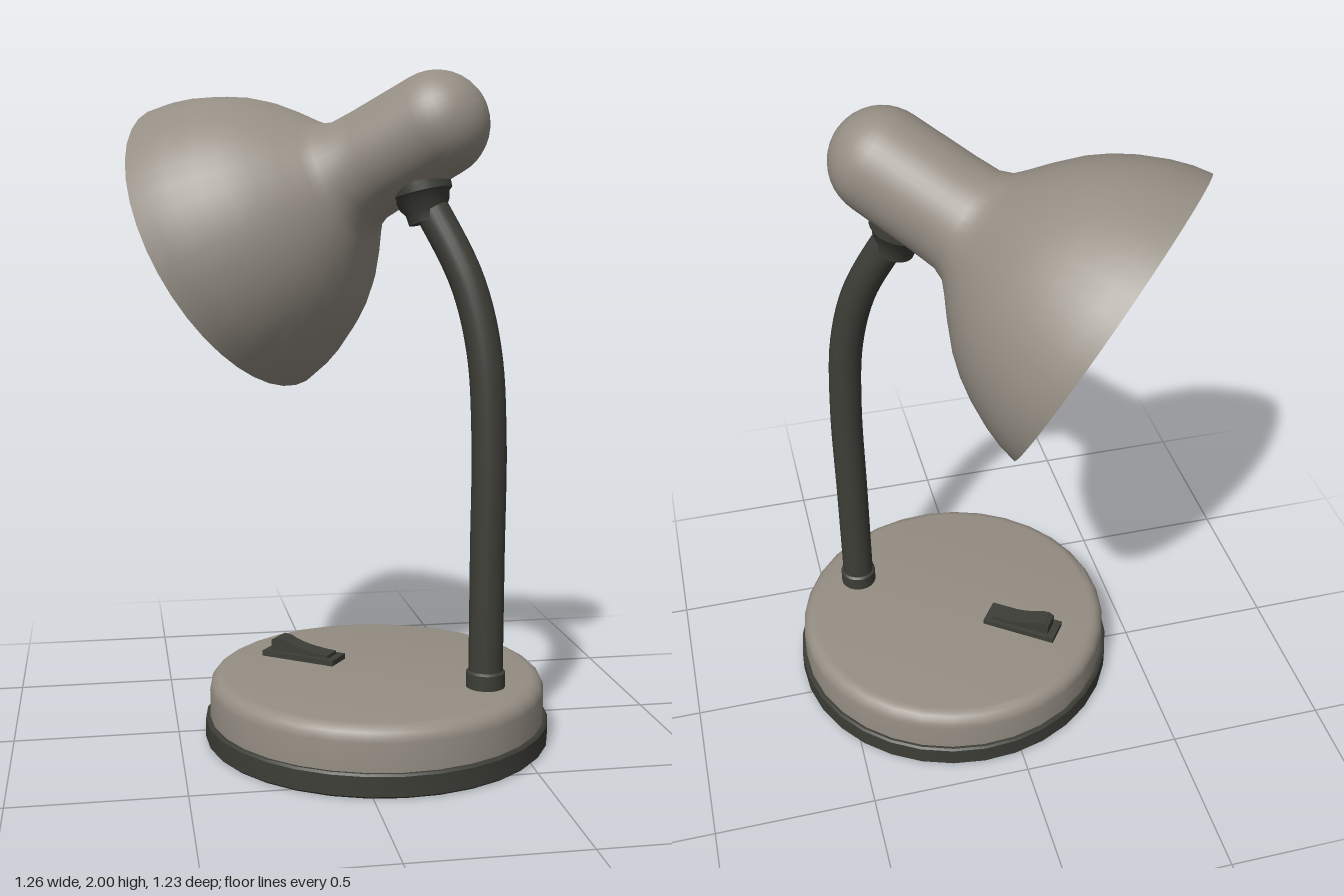
import * as THREE from 'three';
import { toCreasedNormals } from 'three/addons/utils/BufferGeometryUtils.js';

const mat = (name, color) => Object.assign(new THREE.MeshStandardMaterial({ color }), { name });

export function createModel() {
  const taupe = mat('warm grey paint', 0x958e84);
  const dark = mat('dark plastic', 0x3d3e37);
  const glass = mat('bulb glass', 0xd9d5c4);

  const lamp = new THREE.Group();
  lamp.name = 'deskLamp';
  // everything lies in one vertical plane, turned about the base centre
  const body = new THREE.Group();
  body.name = 'lampBody';
  body.position.set(0.105, 0, 0.09);
  body.rotation.y = -0.627;
  lamp.add(body);

  const add = (parent, name, geometry, material) => {
    const mesh = new THREE.Mesh(geometry, material);
    mesh.name = name;
    parent.add(mesh);
    return mesh;
  };
  // profile points are [radius, height]
  const lathe = (points, segments = 32, crease = 0.7) => toCreasedNormals(
    new THREE.LatheGeometry(points.map(p => new THREE.Vector2(...p)), segments), crease);

  // base: dark foot ring and painted cover with a rounded edge
  add(body, 'foot', lathe([[0, 0], [0.52, 0], [0.526, 0.006], [0.526, 0.064], [0.52, 0.07], [0, 0.07]]), dark);
  const cover = [[0.512, 0.07]];
  for (let i = 0; i <= 5; i++) {
    const a = (i / 5) * Math.PI / 2;
    cover.push([0.467 + 0.045 * Math.cos(a), 0.155 + 0.045 * Math.sin(a)]);
  }
  cover.push([0, 0.2]);
  add(body, 'baseCover', lathe(cover), taupe);

  // stem with a collar at its foot
  const path = new THREE.CatmullRomCurve3(
    [[0.358, 0.19], [0.358, 0.6], [0.358, 0.95], [0.339, 1.2], [0.284, 1.4], [0.173, 1.6], [0.14, 1.65]]
      .map(([x, y]) => new THREE.Vector3(x, y, 0)));
  add(body, 'stem', new THREE.TubeGeometry(path, 40, 0.051, 20), dark);
  add(body, 'stemCollar', lathe([[0.058, 0.19], [0.058, 0.245], [0.05, 0.252]], 24), dark)
    .position.x = 0.358;

  // swivel joint under the head
  const joint = add(body, 'swivelJoint', lathe([
    [0, -0.1], [0.057, -0.1], [0.06, -0.07], [0.074, -0.05], [0.082, -0.022],
    [0.091, -0.015], [0.091, 0.018], [0.082, 0.028], [0, 0.028]], 24), dark);
  joint.position.set(0.136, 1.665, 0);
  joint.rotation.z = 0.25;

  // rocker switch: plate and tilted rocker
  const plate = add(body, 'switchPlate', new THREE.BoxGeometry(0.248, 0.022, 0.09), dark);
  plate.position.set(-0.254, 0.206, 0);
  const shape = new THREE.Shape();
  shape.moveTo(-0.1, 0);
  shape.lineTo(-0.1, 0.036);
  shape.lineTo(-0.085, 0.045);
  shape.lineTo(-0.06, 0.043);
  shape.quadraticCurveTo(-0.01, 0.016, 0.1, 0.012);
  shape.lineTo(0.1, 0);
  const rocker = add(body, 'switchRocker',
    new THREE.ExtrudeGeometry(shape, { depth: 0.06, bevelEnabled: false, curveSegments: 6 }), dark);
  rocker.position.set(-0.254, 0.215, -0.03);

  // head: local y runs from the rounded handle end to the shade rim
  const head = new THREE.Group();
  head.name = 'head';
  head.position.set(0.183, 1.845, 0);
  head.rotation.z = 2.048;
  body.add(head);

  const outer = [];
  for (let i = 0; i <= 10; i++) {
    const a = (i / 10) * Math.PI / 2;
    outer.push([0.155 * Math.sin(a), -0.155 * Math.cos(a)]);
  }
  const flare = [[0.158, 0.2], [0.162, 0.28], [0.178, 0.318], [0.208, 0.346], [0.262, 0.392],
    [0.328, 0.455], [0.372, 0.51], [0.41, 0.572], [0.447, 0.65], [0.468, 0.71], [0.48, 0.767]];
  outer.push(...flare);
  add(head, 'shadeAndHandle', lathe(outer, 40, 0.9), taupe);

  // thin inner lining, closed behind the bulb
  const lining = flare.slice(2).map(([r, y]) => [r - 0.01, y + 0.004]);
  lining[lining.length - 1] = [0.472, 0.767];
  lining.push([0.48, 0.767]);
  add(head, 'shadeLining', lathe([[0, 0.3], ...lining].reverse(), 40, 0.9), taupe);

  // bulb
  add(head, 'bulb', new THREE.SphereGeometry(0.172, 28, 20), glass).position.y = 0.5;
  add(head, 'bulbNeck', lathe([[0.09, 0.3], [0.1, 0.34], [0.14, 0.41]], 24), glass);

  return lamp;
}
